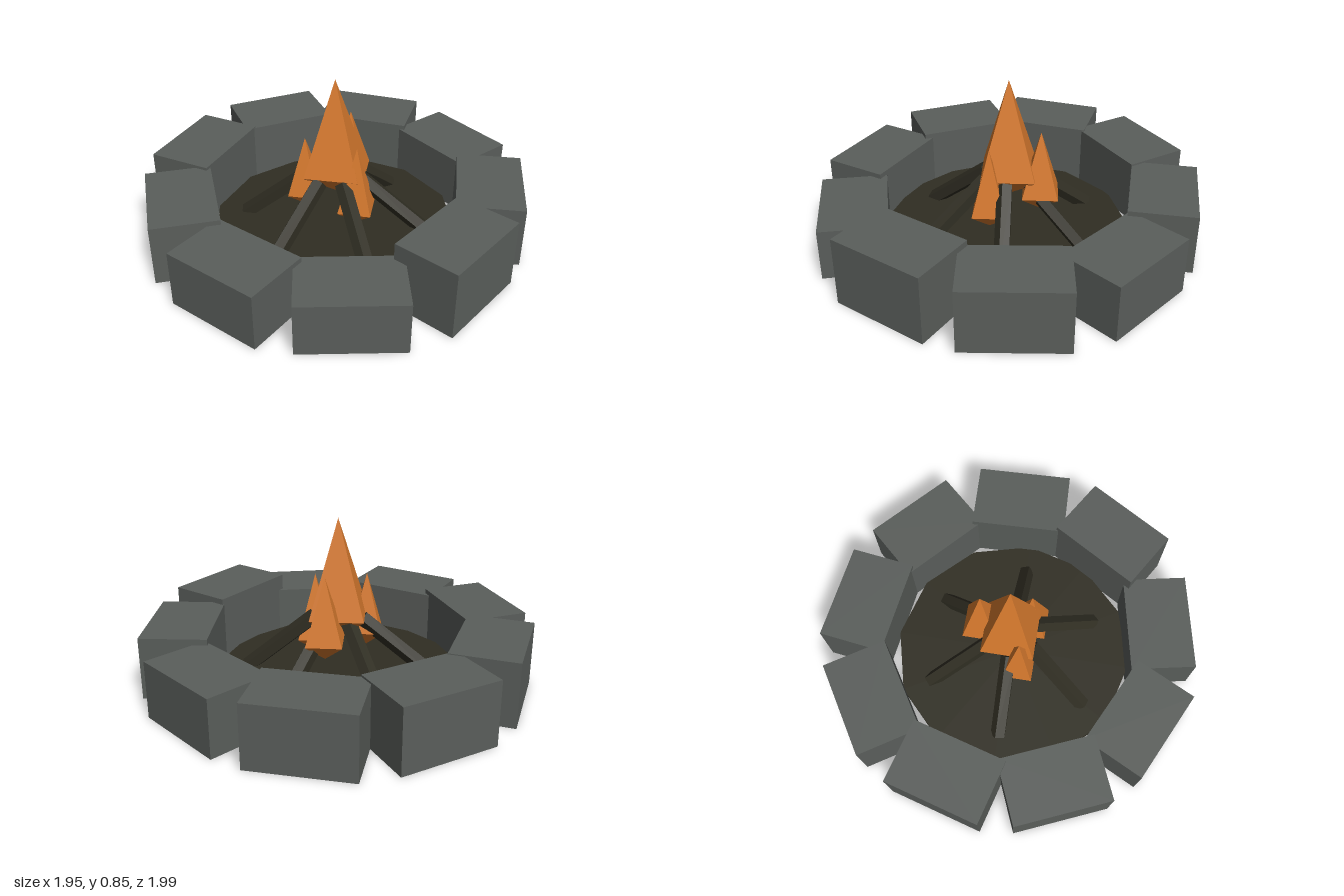
import * as THREE from 'three';

const DEG = Math.PI / 180;

function material(name, color) {
  const m = new THREE.MeshStandardMaterial({ color, flatShading: true });
  m.name = name;
  return m;
}

export function createModel() {
  const stoneGrey = material('stone grey', 0x5a5e5b);
  const charredBrown = material('charred brown', 0x302e23);
  const flameOrange = material('flame orange', 0xd4782d);

  const model = new THREE.Group();
  model.name = 'firePit';

  function add(parent, name, geometry, mat) {
    const mesh = new THREE.Mesh(geometry, mat);
    mesh.name = name;
    parent.add(mesh);
    return mesh;
  }

  function section(name) {
    const g = new THREE.Group();
    g.name = name;
    model.add(g);
    return g;
  }

  // Ring of nine blocks: [facing angle in degrees, height]
  const ring = section('stoneRing');
  const stones = [
    [3, 0.29], [37.7, 0.315], [77.9, 0.325], [120, 0.33], [158.5, 0.315],
    [199, 0.29], [236.5, 0.265], [284, 0.35], [317.2, 0.32],
  ];
  stones.forEach(([facing, height], i) => {
    const a = i * 40 * DEG;
    const stone = add(ring, 'stone', new THREE.BoxGeometry(0.335, height, 0.503), stoneGrey);
    stone.position.set(0.785 * Math.cos(a) + 0.007, height / 2, -0.785 * Math.sin(a) - 0.006);
    stone.rotation.y = facing * DEG;
  });

  // Ash bed inside the ring
  const ash = add(model, 'ashBed', new THREE.CylinderGeometry(0.633, 0.633, 0.04, 12), charredBrown);
  ash.position.y = 0.03;
  ash.rotation.y = 15 * DEG;

  // Six logs leaning towards the centre
  const logs = section('logs');
  const outer = new THREE.Vector3(0.48, 0.036, 0);
  const inner = new THREE.Vector3(0.12, 0.33, 0);
  const along = inner.clone().sub(outer);
  for (let i = 0; i < 6; i++) {
    const lean = new THREE.Group();
    lean.name = 'leaningLog';
    lean.rotation.y = (15 + i * 60) * DEG;
    const log = add(lean, 'log', new THREE.CylinderGeometry(0.042, 0.042, along.length(), 5), charredBrown);
    log.position.copy(outer).add(inner).multiplyScalar(0.5);
    log.quaternion.setFromUnitVectors(new THREE.Vector3(0, 1, 0), along.clone().normalize());
    logs.add(lean);
  }

  // Flames: four-sided spikes with a short taper below the widest point
  const fire = section('fire');
  function flame(name, x, z, radius, bottom, widest, tip) {
    const profile = [[0, bottom], [radius, widest], [0, tip]].map(([r, y]) => new THREE.Vector2(r, y));
    add(fire, name, new THREE.LatheGeometry(profile, 4), flameOrange).position.set(x, 0, z);
  }
  flame('mainFlame', 0.008, -0.008, 0.193, 0.22, 0.355, 0.85);
  flame('frontFlame', 0.032, 0.145, 0.118, 0.1, 0.19, 0.53);
  flame('leftFlame', 0.16, -0.085, 0.127, 0.17, 0.265, 0.6);
  flame('rightFlame', -0.137, -0.062, 0.108, 0.16, 0.245, 0.55);

  return model;
}
